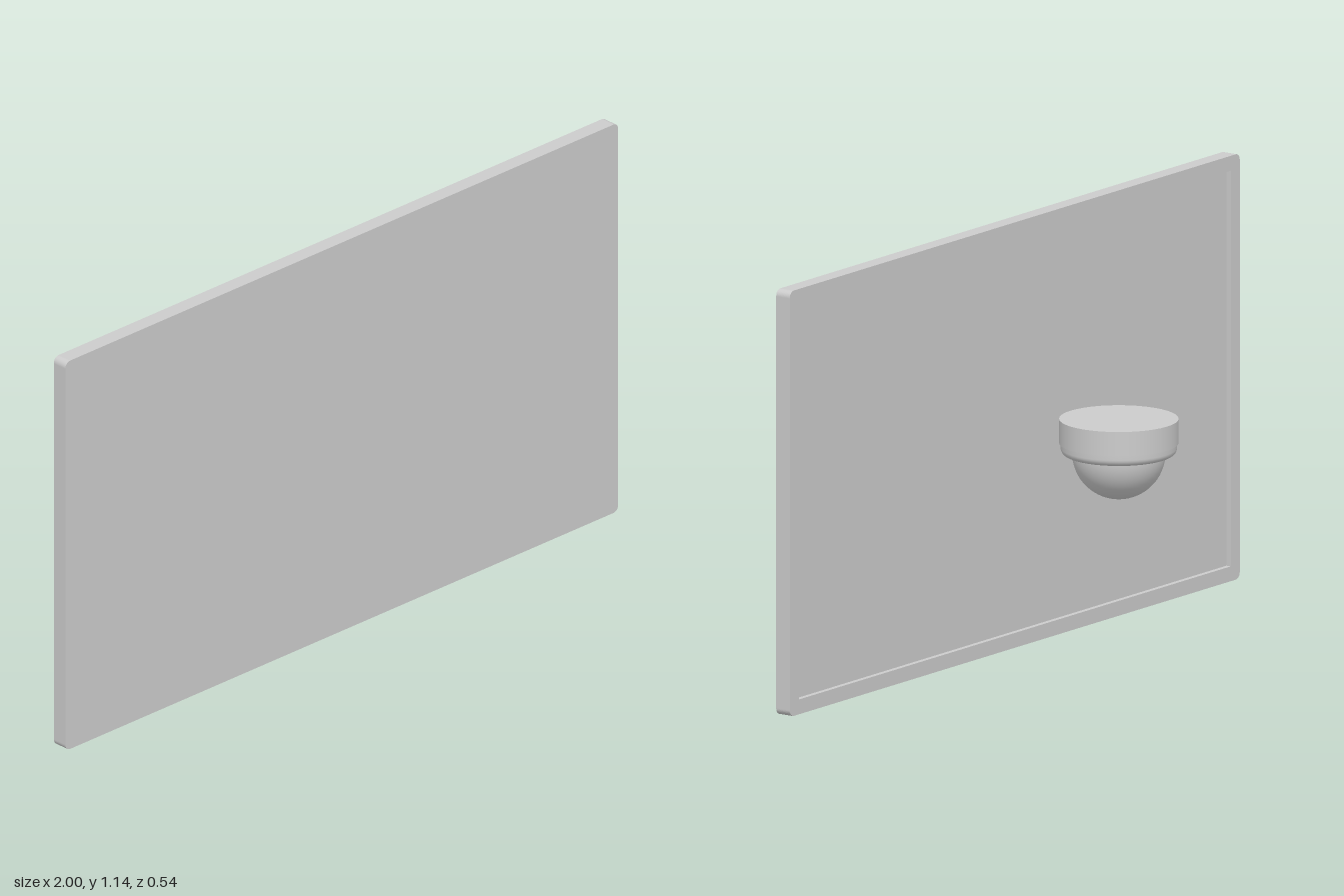
import * as THREE from 'three';

const W = 2, H = 1.145, FRONT = 0.27, BACK = 0.226;
const BORDER = 0.04, RECESS = 0.014, CORNER = 0.018;
const grey = new THREE.MeshStandardMaterial({ color: 0xcccccc });

// Rounded rectangle centred on the origin
function roundedRect(target, w, h, r) {
  const x = w / 2, y = h / 2;
  target.moveTo(-x + r, -y);
  target.lineTo(x - r, -y);
  target.absarc(x - r, -y + r, r, -Math.PI / 2, 0);
  target.lineTo(x, y - r);
  target.absarc(x - r, y - r, r, 0, Math.PI / 2);
  target.lineTo(-x + r, y);
  target.absarc(-x + r, y - r, r, Math.PI / 2, Math.PI);
  target.lineTo(-x, -y + r);
  target.absarc(-x + r, -y + r, r, Math.PI, Math.PI * 1.5);
  return target;
}

function addPart(parent, name, geometry, x, y, z) {
  const mesh = new THREE.Mesh(geometry, grey);
  mesh.name = name;
  mesh.position.set(x, y, z);
  parent.add(mesh);
  return mesh;
}

function extrude(shape, depth) {
  return new THREE.ExtrudeGeometry(shape, { depth, bevelEnabled: false, curveSegments: 6 });
}

function createPanel() {
  const panel = new THREE.Group();
  panel.name = 'panel';

  // Solid front slab
  const slab = roundedRect(new THREE.Shape(), W, H, CORNER);
  addPart(panel, 'panelSlab', extrude(slab, FRONT - BACK - RECESS), 0, H / 2, BACK + RECESS);

  // Raised border around the recessed back
  const border = roundedRect(new THREE.Shape(), W, H, CORNER);
  const x = W / 2 - BORDER, y = H / 2 - BORDER;
  border.holes.push(new THREE.Path([
    new THREE.Vector2(-x, -y), new THREE.Vector2(-x, y),
    new THREE.Vector2(x, y), new THREE.Vector2(x, -y),
  ]));
  addPart(panel, 'backBorder', extrude(border, RECESS), 0, H / 2, BACK);
  return panel;
}

function createDomeUnit() {
  const unit = new THREE.Group();
  unit.name = 'domeUnit';
  unit.position.set(0, 0, -0.112);

  // Mounting drum
  addPart(unit, 'housing', new THREE.CylinderGeometry(0.157, 0.157, 0.065, 40), 0, 0.6305, 0);

  // Rounded trim ring below the drum
  const ring = [new THREE.Vector2(0.12, 0.567), new THREE.Vector2(0.134, 0.567)];
  for (let i = 0; i <= 6; i++) {
    const a = -Math.PI / 2 + (i / 6) * Math.PI / 2;
    ring.push(new THREE.Vector2(0.135 + 0.018 * Math.cos(a), 0.585 + 0.018 * Math.sin(a)));
  }
  ring.push(new THREE.Vector2(0.153, 0.6));
  addPart(unit, 'trimRing', new THREE.LatheGeometry(ring, 40), 0, 0, 0);

  // Hemispherical dome
  const dome = new THREE.SphereGeometry(0.123, 40, 16, 0, Math.PI * 2, Math.PI / 2, Math.PI / 2);
  addPart(unit, 'dome', dome, 0, 0.572, 0);
  return unit;
}

export function createModel() {
  const model = new THREE.Group();
  model.name = 'panelWithDome';
  model.add(createPanel(), createDomeUnit());
  return model;
}
